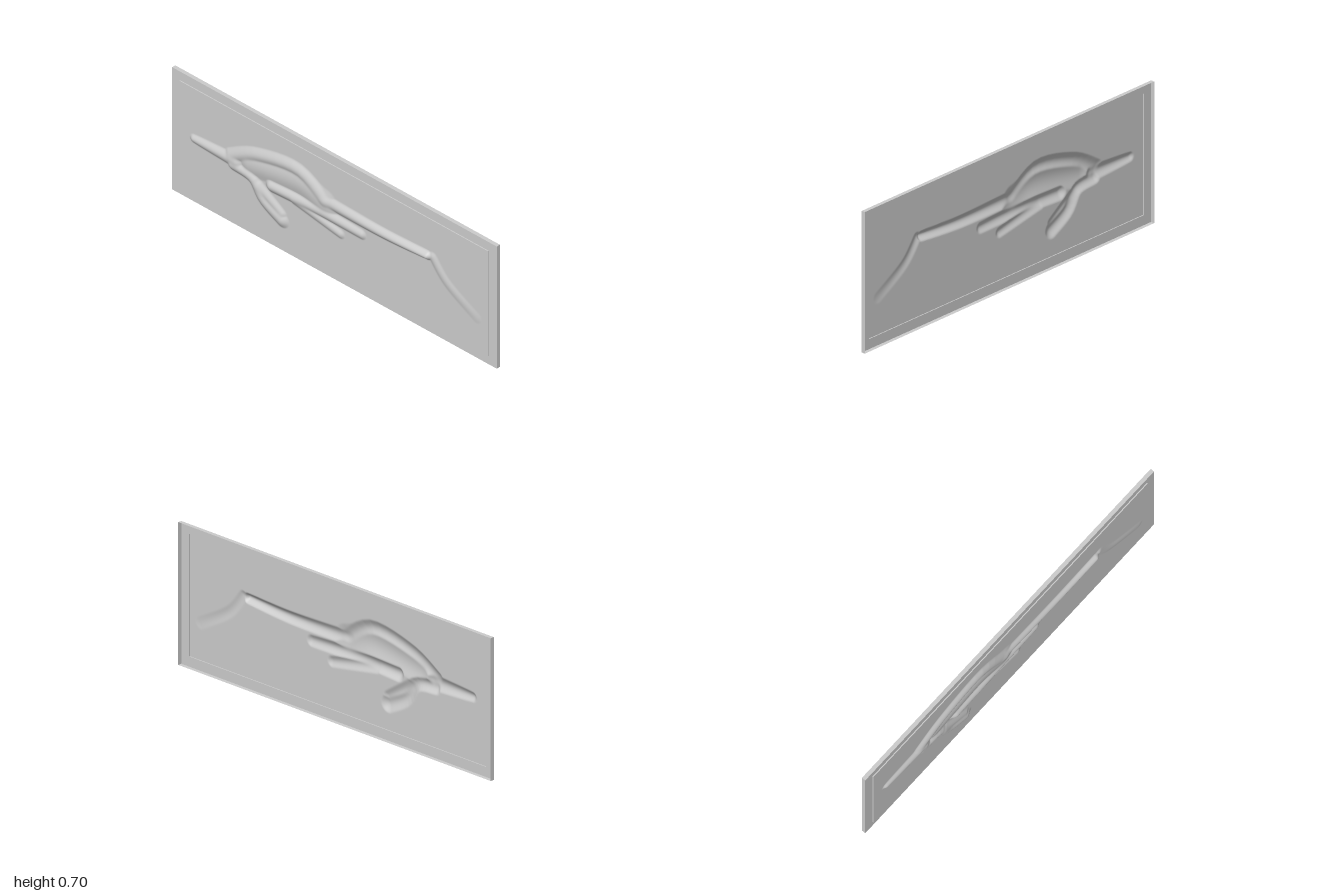
import * as THREE from 'three';

const W = 2, H = 0.705, MARGIN = 0.05, SAMPLES = 16;
const material = new THREE.MeshStandardMaterial({ color: 0xcccccc, side: THREE.DoubleSide });

// A raised stroke: a smooth path whose radius and height run from start to end
function stroke(path, radius, height) {
  const curve = new THREE.SplineCurve(path.map(([x, y]) => new THREE.Vector2(x, y)));
  const points = curve.getPoints(SAMPLES);
  return { points, radius, height };
}

const muzzle = stroke([[-0.86, 0.368], [-0.6, 0.37]], [0.025, 0.045], [0.012, 0.019]);
const trunk = stroke([[-0.52, 0.4], [-0.22, 0.45], [-0.06, 0.41]], [0.07, 0.09], [0.013, 0.015]);
const back = stroke([[-0.63, 0.39], [-0.47, 0.475], [-0.22, 0.52], [-0.05, 0.43]], [0.042, 0.046], [0.016, 0.018]);
const longBar = stroke([[-0.06, 0.43], [0.3, 0.426], [0.58, 0.442]], [0.04, 0.026], [0.015, 0.022]);
const trailingEnd = stroke([[0.61, 0.445], [0.7, 0.34], [0.88, 0.235]], [0.028, 0.032], [0.008, 0.002]);
const frontLimb = stroke([[-0.62, 0.345], [-0.5, 0.33], [-0.43, 0.24], [-0.32, 0.18]], [0.035, 0.045], [0.018, 0.017]);
const frontPaw = stroke([[-0.46, 0.3], [-0.32, 0.215]], [0.04, 0.03], [0.014, 0.011]);
const belly = stroke([[-0.38, 0.345], [-0.06, 0.355], [0.17, 0.35]], [0.04, 0.03], [0.02, 0.012]);
const rearLimb = stroke([[-0.24, 0.34], [0.04, 0.285]], [0.035, 0.028], [0.013, 0.01]);
const strokes = [muzzle, trunk, back, longBar, trailingEnd, frontLimb, frontPaw, belly, rearLimb];

// Height of one stroke at (x, y): a rounded ridge around the path
function strokeHeight({ points, radius, height }, x, y) {
  let best = 0;
  for (let i = 0; i < SAMPLES; i++) {
    const a = points[i], dx = points[i + 1].x - a.x, dy = points[i + 1].y - a.y;
    const s = THREE.MathUtils.clamp(((x - a.x) * dx + (y - a.y) * dy) / (dx * dx + dy * dy), 0, 1);
    const t = (i + s) / SAMPLES;
    const d = Math.hypot(x - a.x - dx * s, y - a.y - dy * s) / THREE.MathUtils.lerp(...radius, t);
    if (d < 1) best = Math.max(best, THREE.MathUtils.lerp(...height, t) * (1 - d * d) ** 1.4);
  }
  return best;
}

// Strokes blend with a soft maximum
function reliefHeight(x, y) {
  const sum = strokes.reduce((total, s) => total + strokeHeight(s, x, y) ** 4, 0);
  return Math.min(0.025, sum ** 0.25);
}

// Rectangular band joining two outlines, each given as [inset, z]
function band(name, outlineA, outlineB) {
  const corner = ([inset, z], i) => [
    (i === 1 || i === 2 ? 1 : -1) * (W / 2 - inset), i > 1 ? H - inset : inset, z];
  const positions = [];
  for (let i = 0; i < 4; i++) {
    const j = (i + 1) % 4;
    const a = corner(outlineA, i), b = corner(outlineA, j);
    const c = corner(outlineB, j), d = corner(outlineB, i);
    positions.push(...a, ...b, ...c, ...a, ...c, ...d);
  }
  const geometry = new THREE.BufferGeometry();
  geometry.setAttribute('position', new THREE.Float32BufferAttribute(positions, 3));
  geometry.computeVertexNormals();
  const mesh = new THREE.Mesh(geometry, material);
  mesh.name = name;
  return mesh;
}

export function createModel() {
  const group = new THREE.Group();
  group.name = 'reliefPlaque';

  // Hollow plaque, open at the back
  group.add(
    band('outerWalls', [0, -0.025], [0, -0.005]),
    band('border', [0, -0.005], [MARGIN, -0.005]),
    band('panelStep', [MARGIN, -0.005], [MARGIN, 0]),
  );

  // Raised panel with the sculpted relief
  const panel = new THREE.PlaneGeometry(W - 2 * MARGIN, H - 2 * MARGIN, 360, 120);
  panel.translate(0, H / 2, 0);
  const p = panel.attributes.position;
  for (let i = 0; i < p.count; i++) p.setZ(i, reliefHeight(p.getX(i), p.getY(i)));
  panel.computeVertexNormals();
  const relief = new THREE.Mesh(panel, material);
  relief.name = 'reliefPanel';
  group.add(relief);

  return group;
}
